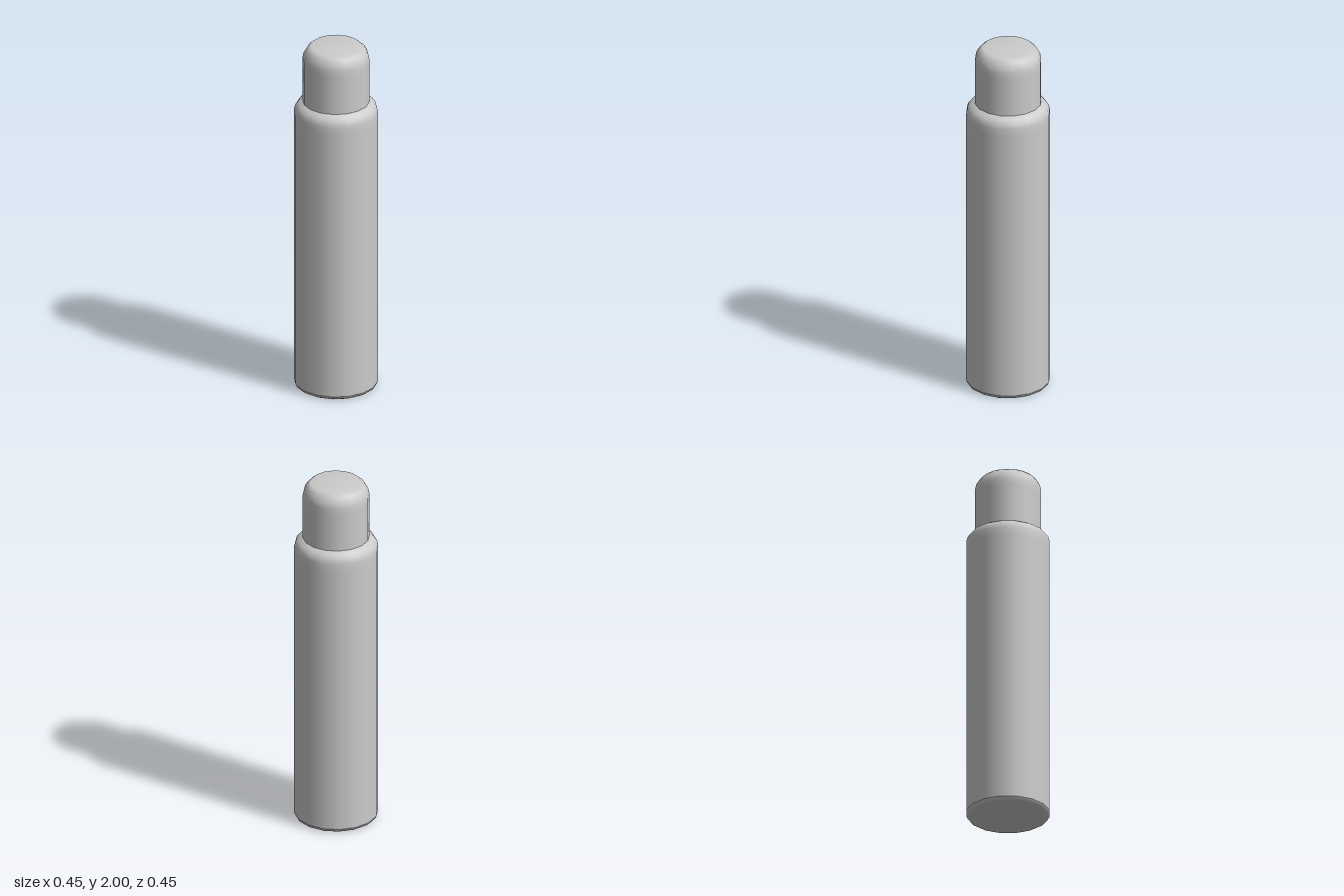
import * as THREE from 'three';

const SIDES = 16;

// Turned part from a profile of [radius, height] points, listed bottom to top
function turned(name, profile, material) {
  const points = profile.map(([r, y]) => new THREE.Vector2(r, y));
  const mesh = new THREE.Mesh(new THREE.LatheGeometry(points, SIDES), material);
  mesh.name = name;
  return mesh;
}

export function createModel() {
  const model = new THREE.Group();
  model.name = 'cylinderWithCap';
  const grey = new THREE.MeshStandardMaterial({ color: 0xcccccc });

  // Closed underside with a small bevelled rim
  model.add(turned('base', [[0, 0], [0.208, 0], [0.22, 0.007], [0.227, 0.022]], grey));

  // Long barrel, rounded in at the shoulder
  model.add(turned('barrel', [
    [0.227, 0.022], [0.227, 0.06], [0.227, 1.57], [0.227, 1.615],
    [0.22, 1.641], [0.204, 1.661], [0.179, 1.674],
  ], grey));

  // Narrower neck with a rounded, closed top
  model.add(turned('cap', [
    [0.18, 1.67], [0.18, 1.89], [0.18, 1.925],
    [0.174, 1.953], [0.158, 1.98], [0.135, 2], [0, 2],
  ], grey));

  return model;
}
